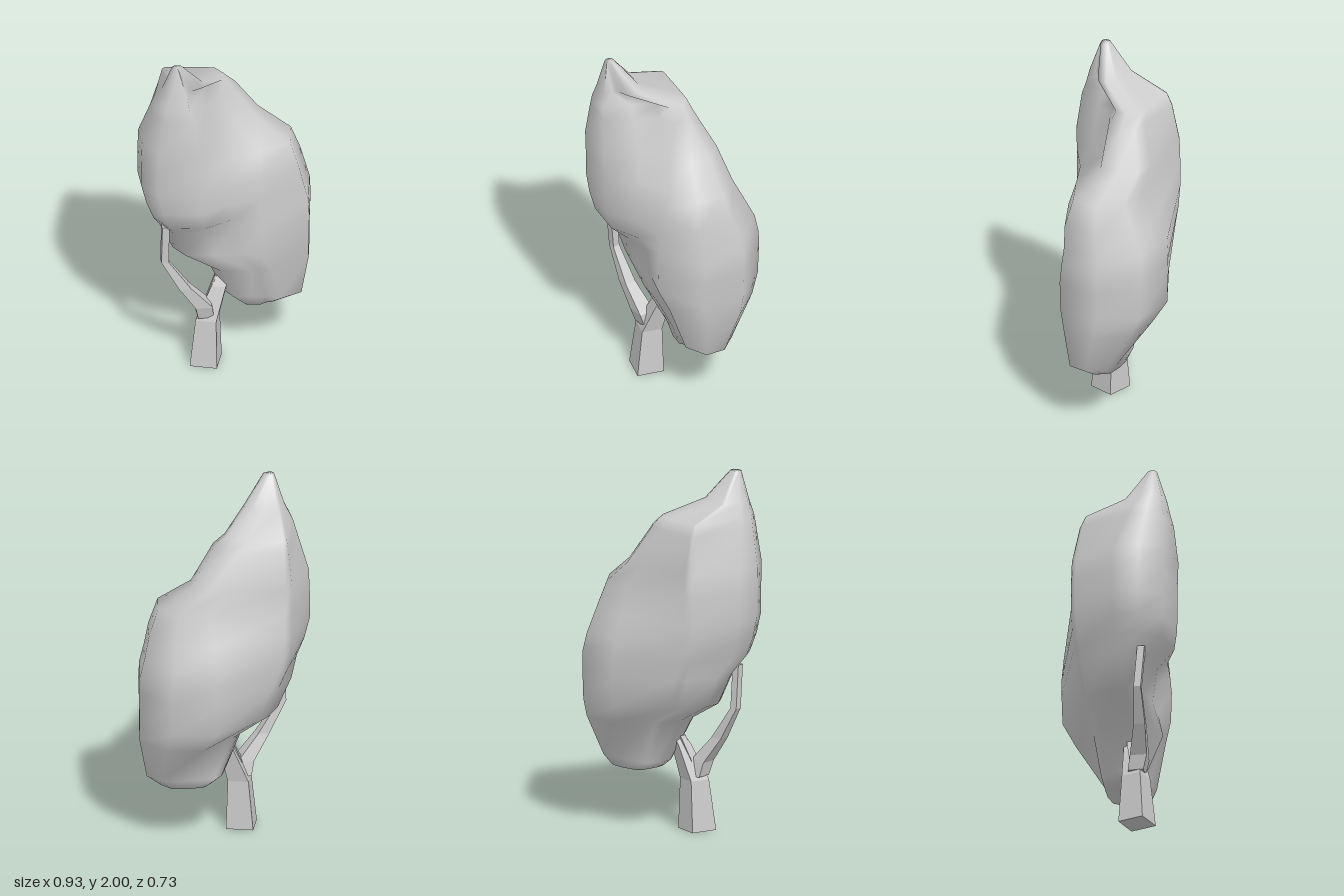
import * as THREE from 'three';

// Skins a stack of equal-length rings (arrays of Vector3), closing both ends.
// Rings run from +z towards +x, seen from above, so that faces point outwards.
function loft(rings) {
  const n = rings[0].length, pos = [], idx = [];
  rings.forEach(r => r.forEach(p => pos.push(p.x, p.y, p.z)));
  for (let i = 0; i < rings.length - 1; i++) {
    for (let j = 0; j < n; j++) {
      const a = i * n + j, b = i * n + (j + 1) % n;
      idx.push(a, b, b + n, a, b + n, a + n);
    }
  }
  [0, rings.length - 1].forEach((k, top) => {
    const c = pos.length / 3, mid = new THREE.Vector3();
    rings[k].forEach(p => mid.addScaledVector(p, 1 / n));
    pos.push(mid.x, mid.y, mid.z);
    for (let j = 0; j < n; j++) {
      const a = k * n + j, b = k * n + (j + 1) % n;
      if (top) idx.push(a, b, c); else idx.push(b, a, c);
    }
  });
  const g = new THREE.BufferGeometry();
  g.setAttribute('position', new THREE.Float32BufferAttribute(pos, 3));
  g.setIndex(idx);
  g.computeVertexNormals();
  return g;
}

// Corners of each crown lobe: angle in degrees and factor on the lobe radius
const BACK_LOBE = [[10, 0.93], [68, 1.07], [112, 1.07], [157, 1.07], [203, 1.07]];
const SIDE_LOBE = [[209, 1], [228, 1], [248, 1]];
const FRONT_LOBE = [[265, 1], [300, 1.03], [334, 1.1], [386, 1.1]];

// Crown section: corners of three lobes, with a slight waist at the front.
function crownRing([y, ax, az, ar, bx, bz, br, cx, cz, cr]) {
  const lobe = (corners, x, z, r) => corners.map(([angle, f]) => {
    const t = THREE.MathUtils.degToRad(angle);
    return new THREE.Vector3(x + f * r * Math.sin(t), y, z + f * r * Math.cos(t));
  });
  const ring = [
    ...lobe(BACK_LOBE, bx, bz, br),
    ...lobe(SIDE_LOBE, cx, cz, cr),
    ...lobe(FRONT_LOBE, ax, az, ar),
  ];
  const centre = new THREE.Vector3((ax + bx) / 2, y, (az + bz) / 2);
  ring.push(ring[ring.length - 1].clone().lerp(ring[0], 0.5).lerp(centre, 0.1));
  return ring;
}

// Limb: four-sided rings [x, y, z, radius], turned by a fixed angle.
function limb(points, turn) {
  return loft(points.map(([x, y, z, r]) => [0, 1, 2, 3].map(k => {
    const t = turn + k * Math.PI / 2;
    return new THREE.Vector3(x + r * Math.sin(t), y, z + r * Math.cos(t));
  })));
}

export function createModel() {
  const tree = new THREE.Group();
  tree.name = 'tree';
  const add = (name, geometry, flatShading) => {
    const mesh = new THREE.Mesh(geometry,
      new THREE.MeshStandardMaterial({ color: 0xcccccc, flatShading }));
    mesh.name = name;
    tree.add(mesh);
  };

  // y, then centre x, z and radius of the front, back and side lobes
  add('crown', loft([
    [0.33, 0.16, -0.01, 0.08, 0.24, -0.055, 0.105, 0.15, -0.08, 0.07],
    [0.38, 0.1, -0.03, 0.1, 0.285, -0.04, 0.135, 0.09, -0.07, 0.08],
    [0.62, 0.07, 0.01, 0.17, 0.215, -0.07, 0.245, 0.05, -0.05, 0.13],
    [0.73, -0.13, 0.035, 0.16, 0.165, -0.07, 0.295, -0.13, -0.05, 0.12],
    [0.9, -0.18, 0.05, 0.185, 0.165, -0.07, 0.3, -0.2, -0.08, 0.1],
    [1.0, -0.19, 0.13, 0.205, 0.165, -0.075, 0.295, -0.25, -0.09, 0.09],
    [1.1, -0.21, 0.13, 0.225, 0.15, -0.07, 0.285, -0.28, -0.1, 0.08],
    [1.22, -0.23, 0.13, 0.235, 0.155, -0.045, 0.255, -0.3, -0.11, 0.07],
    [1.37, -0.23, 0.13, 0.235, 0.17, -0.04, 0.19, -0.3, -0.11, 0.07],
    [1.5, -0.23, 0.14, 0.23, 0.04, -0.07, 0.14, -0.3, -0.105, 0.07],
    [1.7, -0.23, 0.19, 0.165, -0.04, -0.02, 0.1, -0.3, -0.08, 0.05],
    [1.76, -0.24, 0.21, 0.135, -0.09, -0.015, 0.085, -0.3, -0.06, 0.04],
    [1.84, -0.235, 0.235, 0.095, -0.18, 0.19, 0.07, -0.28, 0.15, 0.03],
    [2.0, -0.25, 0.265, 0.025, -0.24, 0.265, 0.025, -0.25, 0.265, 0.025],
  ].map(crownRing)), false);

  // Trunk, leaning into the right-hand fork
  add('trunk', limb([
    [-0.095, 0, 0.12, 0.105],
    [-0.085, 0.28, 0.11, 0.08],
    [-0.02, 0.47, 0.07, 0.055],
    [0.03, 0.58, 0.03, 0.04],
  ], Math.PI / 4 - 0.15), true);

  // Long bent side branch reaching up into the front lobe
  add('sideBranch', limb([
    [-0.1, 0.3, 0.12, 0.06],
    [-0.11, 0.38, 0.14, 0.065],
    [-0.21, 0.52, 0.18, 0.045],
    [-0.315, 0.7, 0.205, 0.028],
    [-0.31, 0.94, 0.225, 0.028],
  ], Math.PI / 4 + 0.2), true);

  // Short twig in the crook of the fork
  add('twig', limb([
    [-0.08, 0.38, 0.1, 0.03],
    [-0.03, 0.52, 0.06, 0.025],
  ], Math.PI / 4), true);

  return tree;
}
